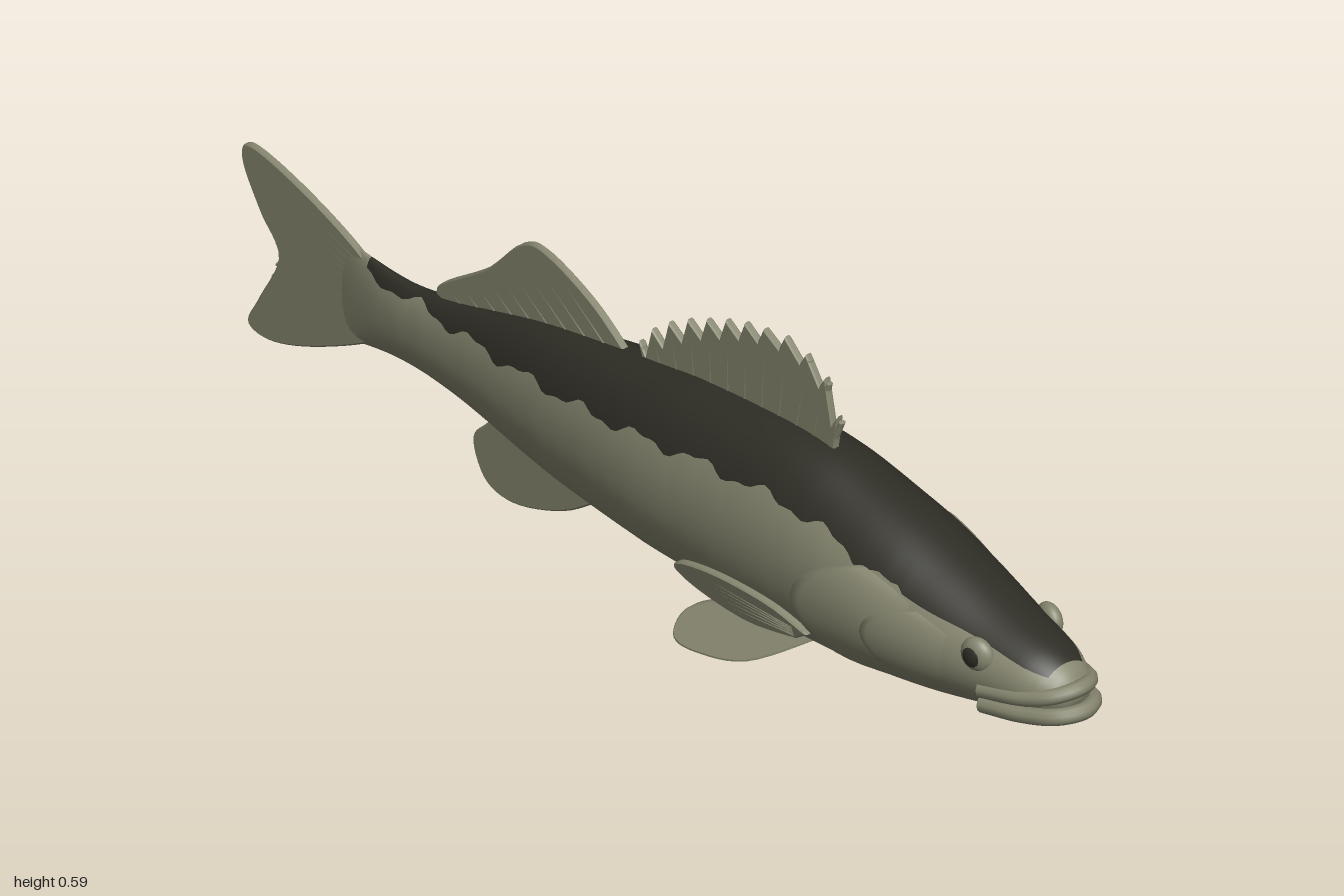
import * as THREE from 'three';
import { mergeGeometries } from 'three/addons/utils/BufferGeometryUtils.js';

const light = new THREE.MeshStandardMaterial({ color: 0x85856f });
light.name = 'pale olive';
const dark = new THREE.MeshStandardMaterial({ color: 0x2e2d25 });
dark.name = 'dark back';

// Body stations: z, top, bottom, half width
const SECTIONS = [
  [0.97, 0.236, 0.192, 0.03], [0.955, 0.255, 0.178, 0.048], [0.93, 0.272, 0.165, 0.062],
  [0.9, 0.285, 0.155, 0.075], [0.8, 0.315, 0.135, 0.097], [0.7, 0.35, 0.115, 0.115],
  [0.6, 0.385, 0.1, 0.128], [0.5, 0.413, 0.087, 0.131], [0.4, 0.437, 0.08, 0.13],
  [0.3, 0.444, 0.08, 0.129], [0.1, 0.435, 0.085, 0.122], [0, 0.422, 0.089, 0.115],
  [-0.2, 0.393, 0.105, 0.088], [-0.3, 0.375, 0.12, 0.073], [-0.4, 0.35, 0.14, 0.058],
  [-0.5, 0.325, 0.155, 0.043], [-0.6, 0.31, 0.16, 0.03], [-0.7, 0.318, 0.15, 0.017],
  [-0.78, 0.335, 0.13, 0.004],
];
// Lower edge of the dark back: z, y
const EDGE = [
  [0.97, 0.245], [0.9, 0.262], [0.8, 0.285], [0.7, 0.302], [0.6, 0.327], [0.5, 0.35], [0.4, 0.366],
  [0.2, 0.36], [0, 0.338], [-0.2, 0.316], [-0.5, 0.297], [-0.78, 0.29],
];

// Smooth interpolation of column k in a table sorted by falling z
function sample(table, z, k) {
  const n = table.length;
  let i = 0;
  while (i < n - 2 && z < table[i + 1][0]) i++;
  const slope = (j) => {
    const a = table[Math.max(j - 1, 0)], b = table[Math.min(j + 1, n - 1)];
    return (b[k] - a[k]) / (b[0] - a[0]);
  };
  const p = table[i], q = table[i + 1], d = q[0] - p[0];
  const t = THREE.MathUtils.clamp((z - p[0]) / d, 0, 1), t2 = t * t, t3 = t2 * t;
  return (2 * t3 - 3 * t2 + 1) * p[k] + (t3 - 2 * t2 + t) * d * slope(i)
    + (3 * t2 - 2 * t3) * q[k] + (t3 - t2) * d * slope(i + 1);
}

// Point on the skin: angle a runs from the top towards +x
function skin(z, a, out = 0) {
  const top = sample(SECTIONS, z, 1), bottom = sample(SECTIONS, z, 2), w = sample(SECTIONS, z, 3);
  return [(w + out) * Math.sin(a), (top + bottom) / 2 + ((top - bottom) / 2 + out * 0.5) * Math.cos(a), z];
}

// Angle where the dark back meets the flank, with a scalloped edge
function edgeAngle(z) {
  const top = sample(SECTIONS, z, 1), bottom = sample(SECTIONS, z, 2);
  const y = sample(EDGE, z, 1) + (z < 0.65 ? 0.008 * Math.sin(z * 42) + 0.004 * Math.sin(z * 97) : 0);
  return Math.acos(THREE.MathUtils.clamp((y - (top + bottom) / 2) * 2 / (top - bottom), -0.2, 0.95));
}

function indexed(pos, index) {
  const g = new THREE.BufferGeometry();
  g.setAttribute('position', new THREE.Float32BufferAttribute(pos, 3));
  g.setIndex(index);
  g.computeVertexNormals();
  return g;
}

function bodyGeometry() {
  const rows = 130, back = 18, flank = 30, cols = back + flank;
  const pos = [], pale = [], deep = [];
  const zAt = (i) => 0.97 - 1.75 * i / rows;
  for (let i = 0; i <= rows; i++) {
    const z = zAt(i), e = edgeAngle(z);
    for (let j = 0; j < cols; j++) {
      const a = j < back ? -e + 2 * e * j / back : e + (2 * Math.PI - 2 * e) * (j - back) / flank;
      pos.push(...skin(z, a));
    }
  }
  for (let i = 0; i < rows; i++) {
    for (let j = 0; j < cols; j++) {
      const k = (j + 1) % cols, a = i * cols + j, b = i * cols + k;
      const list = j < back && zAt(i) < 0.95 && zAt(i) > -0.69 ? deep : pale;
      list.push(a, b, a + cols, b, b + cols, a + cols);
    }
  }
  // Close the snout
  const c = pos.length / 3;
  pos.push(0, 0.214, 0.974);
  for (let j = 0; j < cols; j++) pale.push(c, (j + 1) % cols, j);
  const g = indexed(pos, [...pale, ...deep]);
  g.addGroup(0, pale.length, 0);
  g.addGroup(pale.length, deep.length, 1);
  return g;
}

// Plate lying on the skin that flares towards its curved rear edge
function plateGeometry(side, front, length, bulge, a0, a1, flare) {
  const nu = 14, nv = 20, pos = [], index = [];
  for (let i = 0; i <= nu; i++) {
    for (let j = 0; j <= nv; j++) {
      const v = side > 0 ? j / nv : 1 - j / nv, u = Math.min(i / (nu - 1), 1);
      const arch = Math.sin(Math.PI * v);
      const out = i === nu ? -0.012 : -0.002 + (0.004 + flare * u) * Math.sqrt(Math.max(arch, 0));
      pos.push(...skin(front - u * (length + bulge * arch), side * THREE.MathUtils.lerp(a0, a1, v), out));
    }
  }
  for (let i = 0; i < nu; i++) {
    for (let j = 0; j < nv; j++) {
      const a = i * (nv + 1) + j, b = a + nv + 1;
      index.push(a, a + 1, b, a + 1, b + 1, b);
    }
  }
  return indexed(pos, index);
}

// Fin from an outline in (z, y) with raised rays [z0, y0, z1, y1]; shift(z, y) bends it sideways
function finGeometry(outline, rays, { thick = 0.014, smooth = true, rayR = 0.009, shift } = {}) {
  const pts = outline.map(([z, y]) => new THREE.Vector2(z, y));
  const shape = new THREE.Shape(smooth ? new THREE.SplineCurve(pts).getPoints(outline.length * 5) : pts);
  const bevel = 0.003;
  const plate = new THREE.ExtrudeGeometry(shape, {
    depth: thick - 2 * bevel, bevelThickness: bevel, bevelSize: bevel, bevelOffset: -bevel, bevelSegments: 1,
  });
  plate.translate(0, 0, bevel - thick / 2).rotateY(-Math.PI / 2);
  const parts = [plate];
  for (const [z0, y0, z1, y1] of rays) {
    const d = new THREE.Vector3(0, y1 - y0, z1 - z0), len = d.length();
    const rod = new THREE.CylinderGeometry(rayR * 0.75, rayR, len, 8);
    rod.scale(1, 1, 0.6);
    rod.applyQuaternion(new THREE.Quaternion().setFromUnitVectors(new THREE.Vector3(0, 1, 0), d.normalize()));
    rod.translate(0, (y0 + y1) / 2, (z0 + z1) / 2);
    parts.push(rod.toNonIndexed());
  }
  const g = mergeGeometries(parts);
  if (shift) {
    const p = g.attributes.position;
    for (let i = 0; i < p.count; i++) p.setX(i, p.getX(i) + shift(p.getZ(i), p.getY(i)));
    g.computeVertexNormals();
  }
  return g;
}

// Rays spread between a base line and a tip line
function fan(n, [az, ay], [bz, by], [cz, cy], [dz, dy]) {
  const L = THREE.MathUtils.lerp;
  return Array.from({ length: n }, (_, i) => {
    const t = i / (n - 1);
    return [L(az, bz, t), L(ay, by, t), L(cz, dz, t), L(cy, dy, t)];
  });
}

export function createModel() {
  const fish = new THREE.Group();
  fish.name = 'fish';
  const add = (name, geometry, material = light) => {
    const m = new THREE.Mesh(geometry, material);
    m.name = name;
    fish.add(m);
    return m;
  };
  add('body', bodyGeometry(), [light, dark]);

  // Lips
  const lip = (name, r, pts) => {
    const mirrored = [...pts, ...pts.slice(0, -1).reverse().map(([x, y, z]) => [-x, y, z])];
    const curve = new THREE.CatmullRomCurve3(mirrored.map((p) => new THREE.Vector3(...p)));
    add(name, new THREE.TubeGeometry(curve, 40, r, 10));
  };
  lip('upperLip', 0.014, [[0.083, 0.2, 0.83], [0.066, 0.212, 0.91], [0.04, 0.224, 0.958], [0, 0.231, 0.976]]);
  lip('lowerLip', 0.015, [[0.08, 0.172, 0.83], [0.064, 0.18, 0.91], [0.04, 0.189, 0.966], [0, 0.192, 0.985]]);

  // Spiny front dorsal fin
  const crest = [[0.41, 0.5], [0.38, 0.56], [0.335, 0.585], [0.285, 0.597], [0.235, 0.59], [0.19, 0.582],
    [0.145, 0.568], [0.1, 0.55], [0.055, 0.53], [0.01, 0.505], [-0.03, 0.475], [-0.06, 0.44]];
  const saw = [[0.4, 0.42]], spines = [];
  crest.forEach(([z, y], i) => {
    saw.push([z, y]);
    if (i < crest.length - 1) saw.push([z - 0.014, Math.min(y, crest[i + 1][1]) - 0.022]);
    spines.push([0.385 - i * 0.039, 0.42 - i * 0.002, z + 0.005, y - 0.01]);
  });
  saw.push([-0.05, 0.4]);
  add('frontDorsalFin', finGeometry(saw, spines, { smooth: false }));

  add('rearDorsalFin', finGeometry(
    [[-0.08, 0.395], [-0.17, 0.463], [-0.28, 0.51], [-0.34, 0.5], [-0.42, 0.42], [-0.535, 0.338], [-0.5, 0.315], [-0.3, 0.35], [-0.1, 0.38]],
    fan(9, [-0.13, 0.39], [-0.47, 0.32], [-0.27, 0.498], [-0.51, 0.342])));

  add('analFin', finGeometry(
    [[-0.14, 0.105], [-0.235, 0.042], [-0.35, 0.005], [-0.42, 0.018], [-0.452, 0.08], [-0.43, 0.118], [-0.37, 0.15], [-0.2, 0.13]],
    fan(7, [-0.19, 0.11], [-0.36, 0.14], [-0.34, 0.014], [-0.44, 0.1]), { thick: 0.016 }));

  // Forked tail
  add('tailFin', finGeometry(
    [[-0.64, 0.26], [-0.72, 0.318], [-0.82, 0.365], [-0.93, 0.402], [-0.99, 0.408], [-0.998, 0.37], [-0.957, 0.295],
      [-0.913, 0.228], [-0.96, 0.13], [-0.986, 0.075], [-0.94, 0.06], [-0.85, 0.085], [-0.72, 0.146], [-0.64, 0.2]],
    [...fan(6, [-0.72, 0.3], [-0.72, 0.24], [-0.975, 0.39], [-0.92, 0.25]),
      ...fan(6, [-0.72, 0.225], [-0.72, 0.165], [-0.92, 0.21], [-0.965, 0.08])], { rayR: 0.008 }));

  for (const s of [1, -1]) {
    const side = s > 0 ? 'left' : 'right';
    add(side + 'CheekPlate', plateGeometry(s, 0.76, 0.06, 0.1, 1.0, 2.3, 0.007));
    add(side + 'GillCover', plateGeometry(s, 0.68, 0.1, 0.13, 0.92, 2.45, 0.018));

    add(side + 'PelvicFin', finGeometry(
      [[0.4, 0.09], [0.3, 0.03], [0.2, 0.011], [0.14, 0.015], [0.133, 0.05], [0.2, 0.08], [0.29, 0.1]],
      fan(5, [0.37, 0.085], [0.28, 0.09], [0.21, 0.018], [0.145, 0.048]),
      { thick: 0.02, shift: (z, y) => s * (0.037 + (0.085 - y) * 1.05) }));

    add(side + 'PectoralFin', finGeometry(
      [[0.47, 0.165], [0.4, 0.2], [0.3, 0.217], [0.22, 0.212], [0.2, 0.19], [0.25, 0.158], [0.34, 0.135], [0.44, 0.145]],
      fan(5, [0.44, 0.168], [0.44, 0.152], [0.23, 0.207], [0.28, 0.155]),
      { thick: 0.016, rayR: 0.01, shift: (z, y) => s * (0.122 + (0.45 - z) * 0.12 + (y - 0.15) * 0.3) }));

    // Eye ball with a dark pupil
    const ball = (name, r, flat, x, material) => {
      const m = add(name, new THREE.SphereGeometry(r, 24, 16).scale(flat, 1, 1), material);
      m.position.set(s * x, 0.26, 0.82);
      m.rotation.y = -s * 0.2;
    };
    ball(side + 'Eye', 0.031, 0.6, 0.08, light);
    ball(side + 'Pupil', 0.02, 0.5, 0.0905, dark);
  }
  return fish;
}
